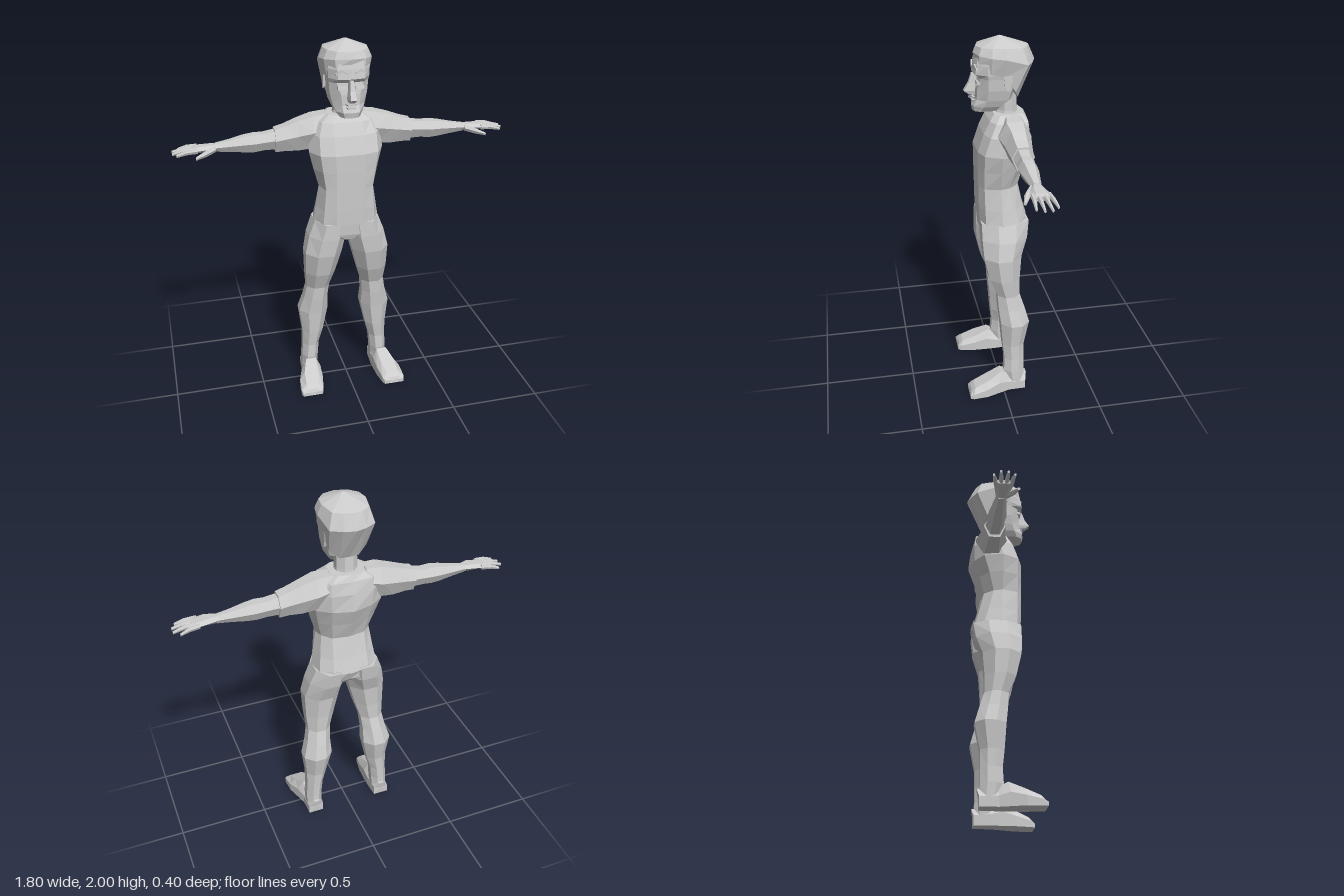
import * as THREE from 'three';

const grey = new THREE.MeshStandardMaterial({ color: 0xcccccc });
grey.name = 'plain grey';

// Closed faceted skin over rings of equal length; winding is fixed from the signed volume
function loft(rings) {
  const tris = [];
  const n = rings[0].length;
  for (let r = 0; r < rings.length - 1; r++) {
    for (let i = 0; i < n; i++) {
      const j = (i + 1) % n;
      const [a, b, c, d] = [rings[r][i], rings[r][j], rings[r + 1][j], rings[r + 1][i]];
      tris.push([a, b, c], [a, c, d]);
    }
  }
  const centre = ring => [0, 1, 2].map(k => ring.reduce((s, p) => s + p[k], 0) / n);
  const first = rings[0], last = rings[rings.length - 1];
  const c0 = centre(first), c1 = centre(last);
  for (let i = 0; i < n; i++) {
    const j = (i + 1) % n;
    tris.push([c0, first[j], first[i]], [c1, last[i], last[j]]);
  }
  const v = p => new THREE.Vector3(...p);
  const volume = tris.reduce((s, [a, b, c]) => s + v(a).sub(v(c0)).dot(v(b).sub(v(c0)).cross(v(c).sub(v(c0)))), 0);
  if (volume < 0) tris.forEach(t => t.reverse());
  const geo = new THREE.BufferGeometry();
  geo.setAttribute('position', new THREE.Float32BufferAttribute(tris.flat(2), 3));
  geo.computeVertexNormals();
  return geo;
}

// Completes a half outline (front centre, left side points, back centre) symmetrically
const whole = half => [...half, ...half.slice(1, -1).reverse().map(([x, y, z]) => [-x, y, z])];

// Hexagonal ring across the x axis: x, top, bottom, front, back
const armRing = ([x, t, b, f, k]) =>
  [[0.5, 1], [-0.5, 1], [-1, 0.1], [-0.5, -1], [0.5, -1], [1, 0.1]].map(([z, y]) =>
    [x, (t + b) / 2 + y * (t - b) / 2, (f + k) / 2 + z * (f - k) / 2]);

// Octagonal ring across the y axis: y, inner x, outer x, back z, front z
const legRing = ([y, xi, xo, zb, zf]) =>
  [[0.45, 1], [1, 0.35], [1, -0.4], [0.4, -1], [-0.4, -1], [-1, -0.4], [-1, 0.35], [-0.45, 1]].map(([x, z]) =>
    [(xi + xo) / 2 + x * (xo - xi) / 2, y, (zb + zf) / 2 + z * (zf - zb) / 2]);

// Foot ring across the z axis: z, inner x, outer x, height
const footRing = ([z, xi, xo, h]) =>
  [[xi, 0, z], [xo, 0, z], [xo, h * 0.55, z], [xo - 0.03, h, z - 0.01], [xi + 0.025, h, z - 0.01], [xi, h * 0.6, z]];

export function createModel() {
  const model = new THREE.Group();
  model.name = 'figure';
  const add = (name, rings) => {
    const mesh = new THREE.Mesh(loft(rings), grey);
    mesh.name = name;
    model.add(mesh);
  };
  const pair = (name, rings) => {
    add('left ' + name, rings);
    add('right ' + name, rings.map(r => r.map(([x, y, z]) => [-x, y, z])));
  };

  // Shirt body: y, front z, flat front half width, side half width, back half width, back corner z, back centre z
  const torsoRing = ([y, zf, a, w, b, zc, zb]) => whole([
    [0, y, zf], [a, y, zf], [(a + w) / 2 + 0.015, y, zf - 0.025], [w, y, zf - 0.11],
    [w * 0.9, y, zc + 0.05], [b, y, zc], [0, y, zb]]);
  add('shirt body', [
    [1.015, 0.103, 0.075, 0.182, 0.1, -0.15, -0.167],
    [1.1, 0.106, 0.075, 0.168, 0.095, -0.128, -0.142],
    [1.22, 0.108, 0.075, 0.15, 0.09, -0.1, -0.115],
    [1.32, 0.11, 0.075, 0.178, 0.1, -0.125, -0.15],
    [1.415, 0.11, 0.08, 0.2, 0.11, -0.155, -0.185],
    [1.51, 0.078, 0.08, 0.195, 0.115, -0.158, -0.175],
    [1.575, 0.045, 0.08, 0.15, 0.11, -0.15, -0.16],
    [1.607, 0.018, 0.055, 0.095, 0.07, -0.13, -0.145]
  ].map(torsoRing));
  add('pelvis', [
    [0.92, 0.085, 0.02, 0.1, 0.05, -0.11, -0.1],
    [0.95, 0.095, 0.07, 0.17, 0.1, -0.14, -0.13],
    [1.03, 0.1, 0.075, 0.177, 0.1, -0.148, -0.162]
  ].map(torsoRing));

  // Legs and feet
  pair('leg', [
    [0.05, 0.165, 0.255, -0.124, -0.02],
    [0.12, 0.162, 0.255, -0.12, -0.005],
    [0.2, 0.155, 0.25, -0.12, -0.01],
    [0.29, 0.13, 0.25, -0.122, 0],
    [0.43, 0.1, 0.266, -0.15, 0.01],
    [0.52, 0.103, 0.24, -0.125, 0.02],
    [0.6, 0.095, 0.225, -0.1, 0.025],
    [0.7, 0.065, 0.232, -0.1, 0.065],
    [0.83, 0.03, 0.235, -0.11, 0.095],
    [0.93, 0.003, 0.212, -0.145, 0.1],
    [1.02, 0.003, 0.178, -0.158, 0.1]
  ].map(legRing));
  pair('foot', [
    [-0.125, 0.168, 0.255, 0.09],
    [-0.03, 0.162, 0.257, 0.1],
    [0.025, 0.162, 0.275, 0.125],
    [0.1, 0.165, 0.3, 0.09],
    [0.18, 0.178, 0.306, 0.055],
    [0.2, 0.188, 0.3, 0.035]
  ].map(footRing));

  // Sleeves, arms and hands
  pair('sleeve', [
    [0.09, 1.605, 1.46, 0, -0.15],
    [0.17, 1.598, 1.425, 0.02, -0.152],
    [0.25, 1.575, 1.415, 0.002, -0.138],
    [0.32, 1.55, 1.418, -0.004, -0.128],
    [0.37, 1.537, 1.415, -0.008, -0.125]
  ].map(armRing));
  pair('arm', [
    [0.35, 1.53, 1.43, -0.015, -0.117],
    [0.43, 1.518, 1.43, -0.018, -0.112],
    [0.48, 1.518, 1.425, -0.013, -0.112],
    [0.53, 1.512, 1.428, -0.018, -0.108],
    [0.61, 1.495, 1.437, -0.028, -0.095],
    [0.68, 1.484, 1.443, -0.035, -0.085]
  ].map(armRing));
  pair('palm', [
    [0.66, 1.482, 1.447, -0.035, -0.085],
    [0.71, 1.482, 1.447, -0.018, -0.095],
    [0.78, 1.478, 1.45, -0.008, -0.108],
    [0.8, 1.472, 1.45, -0.012, -0.106]
  ].map(armRing));
  [[-0.096, -0.114, 0.87], [-0.07, -0.082, 0.9], [-0.044, -0.046, 0.9], [-0.02, -0.012, 0.88]].forEach(([z0, z1, tip], i) => {
    const zm = (z0 + z1) / 2;
    pair('finger ' + (i + 1), [
      [0.77, 1.477, 1.452, z0 + 0.012, z0 - 0.012],
      [(0.78 + tip) / 2, 1.472, 1.45, zm + 0.01, zm - 0.01],
      [tip, 1.455, 1.441, z1 + 0.006, z1 - 0.006]
    ].map(armRing));
  });
  pair('thumb', [
    [0.68, 1.475, 1.447, -0.02, -0.06],
    [0.73, 1.465, 1.437, 0.01, -0.025],
    [0.785, 1.443, 1.428, 0.024, 0.008]
  ].map(armRing));

  // Neck
  add('neck', [
    [1.56, -0.065, 0.065, -0.115, 0.012],
    [1.62, -0.056, 0.056, -0.108, -0.002],
    [1.74, -0.056, 0.056, -0.1, 0]
  ].map(legRing));

  // Face: y, front z, flat front half width, side half width, cheek z, back z
  add('face', [
    [1.622, 0.125, 0.035, 0.053, 0.09, 0.0],
    [1.65, 0.13, 0.042, 0.072, 0.075, -0.03],
    [1.685, 0.115, 0.045, 0.085, 0.06, -0.07],
    [1.74, 0.112, 0.05, 0.098, 0.055, -0.085],
    [1.8, 0.1, 0.07, 0.103, 0.055, -0.095],
    [1.822, 0.125, 0.07, 0.107, 0.06, -0.1],
    [1.87, 0.118, 0.07, 0.108, 0.06, -0.1],
    [1.92, 0.105, 0.06, 0.1, 0.05, -0.08]
  ].map(([y, zf, a, w, zs, zb]) => whole([
    [0, y, zf], [a, y, zf - 0.008], [w, y, zs], [w, y, zb + 0.02], [w * 0.6, y, zb], [0, y, zb]])));
  add('nose', [[1.815, 0.127, 0.012], [1.765, 0.143, 0.017], [1.725, 0.167, 0.023], [1.705, 0.14, 0.02]].map(
    ([y, z, w]) => [[-w, y, 0.09], [w, y, 0.09], [w * 0.7, y, z], [-w * 0.7, y, z]]));
  [['upper lip', 1.69, 0.124], ['lower lip', 1.674, 0.127]].forEach(([name, y, z]) => {
    add(name, [[y - 0.005, 0.03], [y + 0.005, 0.036]].map(([h, w]) =>
      [[-w, h, 0.1], [w, h, 0.1], [w * 0.6, h, z], [-w * 0.6, h, z]]));
  });

  // Eyes, brows and ears
  pair('eye', [0.024, 0.068].map(x => [[x, 1.768, 0.09], [x, 1.768, 0.112], [x, 1.784, 0.108], [x, 1.784, 0.09]]));
  pair('brow', [[0.018, 1.845, 0.126], [0.05, 1.862, 0.121], [0.078, 1.842, 0.113]].map(([x, y, z]) =>
    [[x, y, z - 0.02], [x, y, z], [x, y + 0.01, z], [x, y + 0.01, z - 0.02]]));
  pair('ear', [[0.095, 0.9], [0.113, 1]].map(([x, s]) =>
    [[0.022, 0.04], [0.014, -0.03], [-0.008, -0.042], [-0.022, 0.01], [-0.024, 0.04]].map(([z, y]) =>
      [x, 1.78 + y * s, -0.042 + z * s])));

  // Hair cap: sloping rim, widest ring, crown ring, top
  add('hair', [
    [[0, 1.885, 0.11], [0.075, 1.875, 0.1], [0.11, 1.83, 0.04], [0.112, 1.815, -0.03], [0.1, 1.73, -0.085], [0.05, 1.69, -0.105], [0, 1.69, -0.108]],
    [[0, 1.92, 0.118], [0.08, 1.918, 0.098], [0.125, 1.912, 0.04], [0.136, 1.905, -0.03], [0.118, 1.87, -0.145], [0.06, 1.87, -0.178], [0, 1.873, -0.2]],
    [[0, 1.953, 0.105], [0.065, 1.955, 0.085], [0.105, 1.957, 0.035], [0.115, 1.957, -0.03], [0.095, 1.95, -0.12], [0.05, 1.95, -0.15], [0, 1.952, -0.165]],
    [[0, 2, -0.015], [0.004, 1.999, -0.017], [0.005, 1.999, -0.019], [0.005, 1.999, -0.021], [0.005, 1.999, -0.023], [0.003, 1.999, -0.024], [0, 1.999, -0.025]]
  ].map(whole));

  return model;
}
